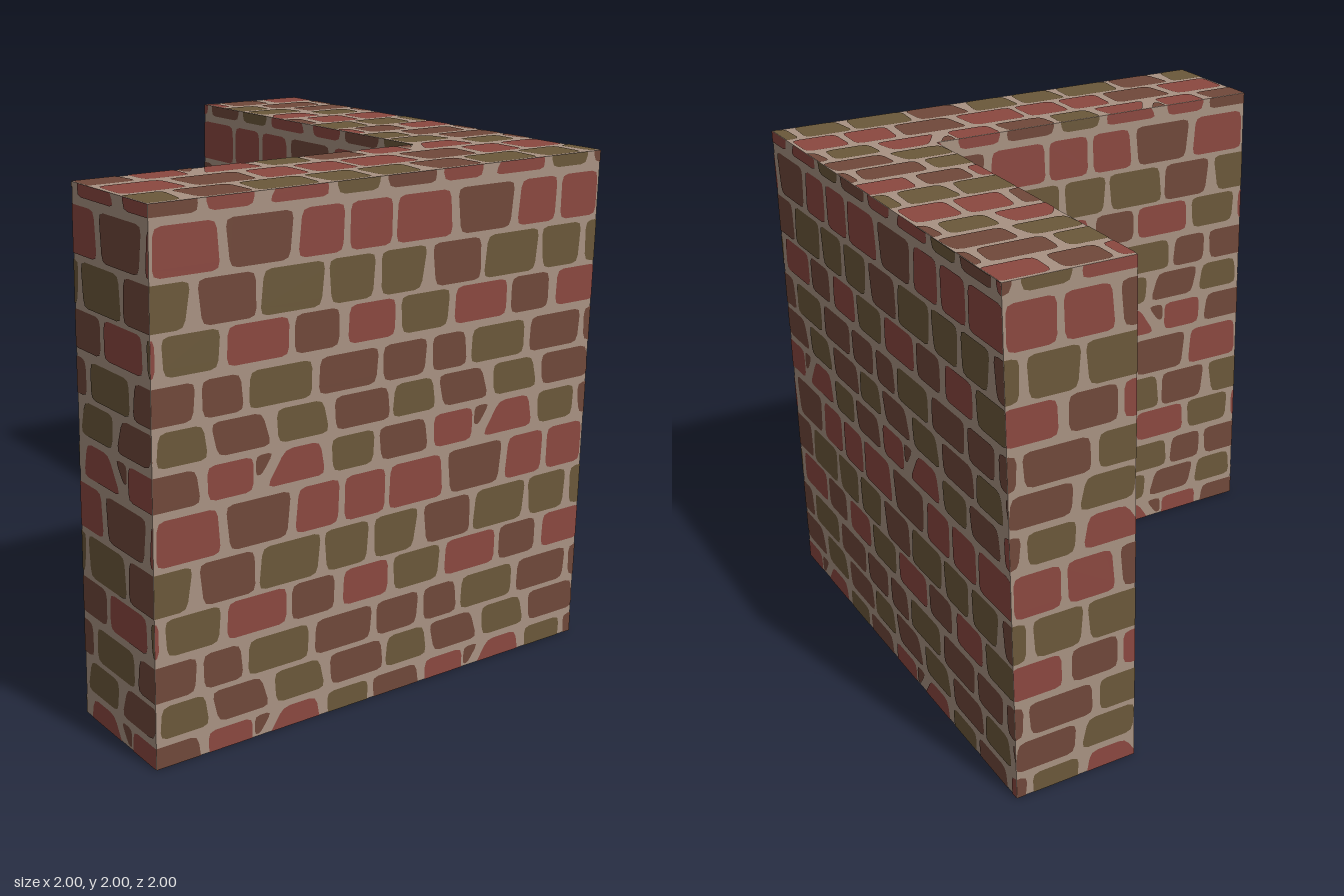
import * as THREE from 'three';

const material = (name, color) => {
  const m = new THREE.MeshStandardMaterial({ color });
  m.name = name;
  return m;
};

// Repeating one-unit brick pattern. Row: bottom, top, bricks.
// Brick: colour, then u of bottom left, bottom right, top right, top left, optional own bottom.
const ROWS = [
  [0.755, 0.925, [['red', .01, .27, .255, .015], ['brown', .31, .55, .565, .29],
    ['red', .585, .775, .78, .6], ['red', .805, .99, .99, .805]]],
  [0.575, 0.735, [['olive', .95, 1.13, 1.155, .945], ['brown', .2, .415, .41, .18],
    ['olive', .43, .685, .70, .445], ['olive', .73, .91, .92, .715]]],
  [0.42, 0.56, [['olive', .05, .26, .27, .04], ['red', .295, .55, .55, .3],
    ['brown', .575, .765, .765, .575], ['red', .805, 1.015, 1.015, .81]]],
  [0.255, 0.39, [['brown', .97, 1.16, 1.17, .965], ['brown', .2, .365, .35, .195],
    ['olive', .385, .65, .65, .39], ['brown', .68, .935, .945, .685]]],
  [0.11, 0.235, [['olive', .015, .22, .2, .025], ['brown', .26, .48, .44, .23],
    ['olive', .51, .73, .7, .5], ['brown', .76, 1.005, .99, .75]]],
  [-0.045, 0.083, [['brown', .97, 1.19, 1.17, .955], ['red', .22, .405, .405, .215],
    ['brown', .415, .44, .49, .415, .01], ['red', .46, .715, .69, .54],
    ['olive', .75, .93, .935, .74]]],
];

// Four corners rounded into a convex outline
function roundedOutline(corners) {
  const out = [];
  corners.forEach((p, i) => {
    const toward = (q) => q.clone().sub(p).setLength(Math.min(0.03, p.distanceTo(q) * 0.3)).add(p);
    const a = toward(corners[(i + 3) % 4]);
    const b = toward(corners[(i + 1) % 4]);
    const mid = a.clone().add(b).multiplyScalar(0.25).addScaledVector(p, 0.5);
    out.push(a, mid, b);
  });
  return out;
}

// Keep the part of a polygon where sign * p[axis] <= sign * limit
function clip(poly, axis, limit, sign) {
  const out = [];
  poly.forEach((p, i) => {
    const q = poly[(i + 1) % poly.length];
    const dp = sign * (limit - p[axis]);
    const dq = sign * (limit - q[axis]);
    if (dp >= 0) out.push(p);
    if (dp * dq < 0) out.push(p.clone().lerp(q, dp / (dp - dq)));
  });
  return out;
}

// Flat face coordinates (a, b) at depth c, for faces across each axis
const PLACE = {
  x: (a, b, c) => [c, b, -a],
  y: (a, b, c) => [a, c, -b],
  z: (a, b, c) => [a, b, c],
};

// Brick faces of one wall rectangle, one mesh per colour
function brickFace(face, materials) {
  const { name, axis, at, side, a: [a0, a1], b: [b0, b1], shift: [su, sv], size = 1 } = face;
  const group = new THREE.Group();
  group.name = name;
  const points = { red: [], brown: [], olive: [] };
  const depth = at + side * 0.002;

  for (let i = -4; i <= 4; i++) for (let j = -4; j <= 4; j++) {
    for (const [low, high, bricks] of ROWS) for (const [color, bl, br, tr, tl, ownLow = low] of bricks) {
      const corners = [[bl, ownLow], [br, ownLow], [tr, high], [tl, high]].map(
        ([u, v]) => new THREE.Vector2((u + i - su) * size, (v + j - sv) * size));
      let poly = roundedOutline(corners);
      poly = clip(clip(poly, 'x', a1, 1), 'x', a0, -1);
      poly = clip(clip(poly, 'y', b1, 1), 'y', b0, -1);
      for (let k = 1; k < poly.length - 1; k++) {
        const tri = side > 0 ? [poly[0], poly[k], poly[k + 1]] : [poly[0], poly[k + 1], poly[k]];
        for (const p of tri) points[color].push(...PLACE[axis](p.x, p.y, depth));
      }
    }
  }
  for (const [color, list] of Object.entries(points)) {
    if (!list.length) continue;
    const geometry = new THREE.BufferGeometry();
    geometry.setAttribute('position', new THREE.Float32BufferAttribute(list, 3));
    geometry.computeVertexNormals();
    const mesh = new THREE.Mesh(geometry, materials[color]);
    mesh.name = `${color}Bricks`;
    group.add(mesh);
  }
  return group;
}

export function createModel() {
  const model = new THREE.Group();
  model.name = 'cornerWall';
  const materials = {
    red: material('red brick', 0x8b4840),
    brown: material('brown brick', 0x70483a),
    olive: material('olive brick', 0x6b583a),
  };
  const mortar = material('mortar', 0xa89282);

  // L-shaped mortar core
  const plan = new THREE.Shape(
    [[-1, -1], [1, -1], [1, 1], [0.5, 1], [0.5, -0.5], [-1, -0.5]].map(([x, y]) => new THREE.Vector2(x, y)));
  const core = new THREE.Mesh(
    new THREE.ExtrudeGeometry(plan, { depth: 2, bevelEnabled: false }).rotateX(-Math.PI / 2), mortar);
  core.name = 'mortarCore';
  model.add(core);

  // Upright faces
  const tall = [0, 2];
  const alongX = { axis: 'z', b: tall, shift: [0, 0] };
  const alongZ = { axis: 'x', b: tall, shift: [0.25, 0] };
  const faces = [
    { name: 'frontFace', ...alongX, at: 1, side: 1, a: [-1, 1] },
    { name: 'innerBackFace', ...alongX, at: 0.5, side: -1, a: [-1, 0.5] },
    { name: 'backEnd', ...alongX, at: -1, side: -1, a: [0.5, 1] },
    { name: 'outerSideFace', ...alongZ, at: 1, side: 1, a: [-1, 1] },
    { name: 'innerSideFace', ...alongZ, at: 0.5, side: -1, a: [-0.5, 1] },
    { name: 'sideEnd', ...alongZ, at: -1, side: -1, a: [-1, -0.5] },
  ];
  // Top and underside, each in two rectangles; the underside has larger bricks
  for (const [leg, a, b] of [['front', [-1, 1], [-1, -0.5]], ['side', [0.5, 1], [-0.5, 1]]]) {
    faces.push({ name: `${leg}Top`, axis: 'y', at: 2, side: 1, a, b, shift: [0, 0.57] });
    faces.push({ name: `${leg}Underside`, axis: 'y', at: 0, side: -1, a, b, shift: [0, 0.265], size: 2 });
  }
  for (const face of faces) model.add(brickFace(face, materials));
  return model;
}
